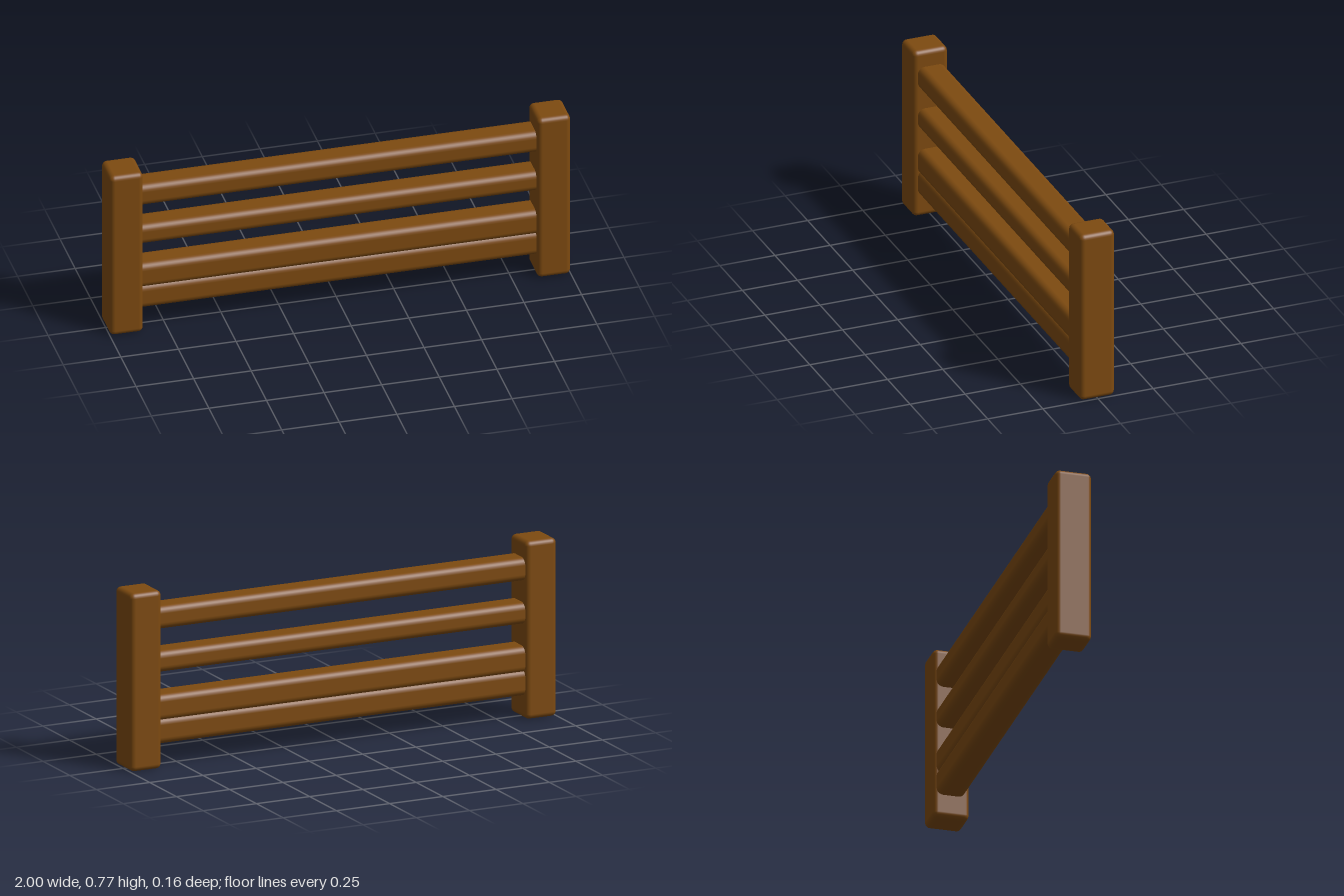
import * as THREE from 'three';
import { RoundedBoxGeometry } from 'three/addons/geometries/RoundedBoxGeometry.js';

export function createModel() {
  const fence = new THREE.Group();
  fence.name = 'woodenFence';
  const wood = new THREE.MeshStandardMaterial({ color: 0x7d4a10 });
  wood.name = 'brown wood';

  function beam(name, [w, h, d], [x, y, z], radius) {
    const mesh = new THREE.Mesh(new RoundedBoxGeometry(w, h, d, 3, radius), wood);
    mesh.name = name;
    mesh.position.set(x, y, z);
    fence.add(mesh);
  }

  // End posts with softened edges
  for (const [name, side] of [['leftPost', 1], ['rightPost', -1]]) {
    beam(name, [0.145, 0.775, 0.158], [side * 0.9275, 0.3875, 0], 0.022);
  }

  // Horizontal rails: bottom and top heights; the lower two touch along a groove
  const rails = [
    ['topRail', 0.6, 0.7],
    ['middleRail', 0.412, 0.505],
    ['lowerRail', 0.2, 0.315],
    ['bottomRail', 0.1, 0.215],
  ];
  for (const [name, low, high] of rails) {
    beam(name, [1.8, high - low, 0.124], [0, (low + high) / 2, -0.003], 0.03);
  }

  return fence;
}
